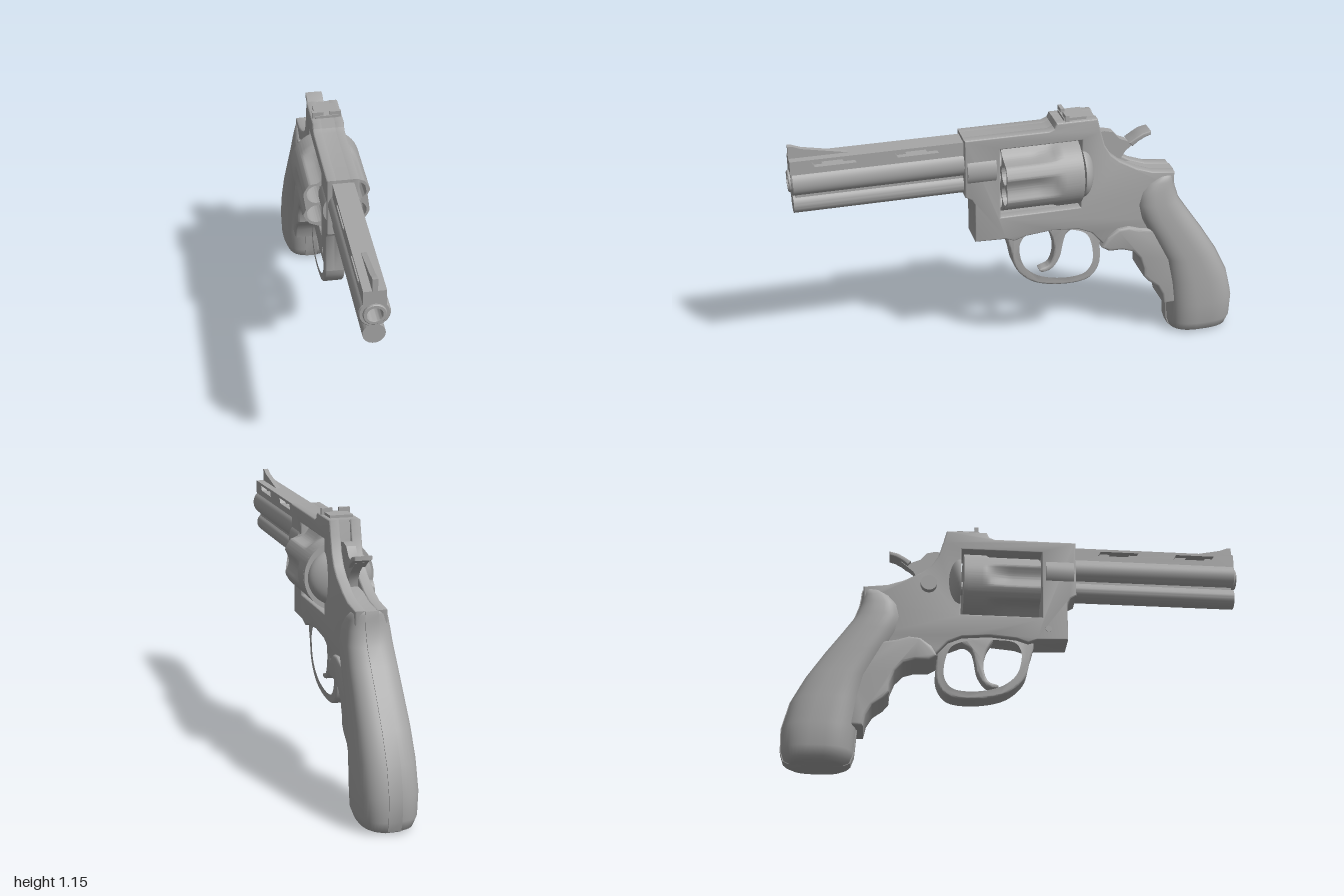
import * as THREE from 'three';
import { toCreasedNormals } from 'three/addons/utils/BufferGeometryUtils.js';

const steel = new THREE.MeshStandardMaterial({ color: 0xa6a6a6 });
steel.name = 'steel grey';

export function createModel() {
  const model = new THREE.Group();
  model.name = 'revolver';

  const add = (name, geo, crease = 0.6) => {
    const mesh = new THREE.Mesh(crease ? toCreasedNormals(geo, crease) : geo, steel);
    mesh.name = name;
    model.add(mesh);
    return mesh;
  };
  const vecs = (pts) => pts.map(([z, y]) => new THREE.Vector2(z, y));
  // Closed smooth outline through a few [z, y] points
  const smooth = (pts, n = 60) =>
    new THREE.CatmullRomCurve3(pts.map(([z, y]) => new THREE.Vector3(z, y, 0)), true)
      .getPoints(n).slice(0, -1).map((p) => [p.x, p.y]);
  // Side profile in [z, y], extruded across x to a total width w
  const plate = (name, pts, w, { x = 0, bevel = 0, holes = [], crease = 0.6 } = {}) => {
    const shape = new THREE.Shape(vecs(pts));
    holes.forEach((h) => shape.holes.push(new THREE.Path(vecs(h))));
    const depth = w - 2 * bevel;
    const geo = new THREE.ExtrudeGeometry(shape, {
      depth, bevelEnabled: bevel > 0, bevelSize: bevel, bevelThickness: bevel,
      bevelOffset: -bevel, bevelSegments: 3,
    });
    geo.translate(0, 0, -depth / 2);
    geo.rotateY(-Math.PI / 2);
    geo.translate(x, 0, 0);
    return add(name, geo, crease);
  };
  // Round part along z between z0 and z1
  const rod = (name, r, y, z0, z1) => {
    const geo = new THREE.CylinderGeometry(r, r, z1 - z0, 48);
    geo.rotateX(Math.PI / 2);
    geo.translate(0, y, (z0 + z1) / 2);
    return add(name, geo);
  };
  const box = (name, w, h, d, x, y, z) =>
    add(name, new THREE.BoxGeometry(w, h, d).translate(x, y, z));

  // Frame: a core with a hammer slot at the back, between two side plates
  const frameLow = [
    [-0.67, 0.76], [-0.63, 0.6], [-0.56, 0.5], [-0.45, 0.5], [-0.36, 0.51], [-0.335, 0.54], [-0.3, 0.58],
    [-0.24, 0.607], [-0.12, 0.618], [0, 0.607], [0.05, 0.59], [0.09, 0.605], [0.225, 0.61],
    [0.225, 0.79], [0.24, 0.815], [0.265, 0.83], [0.265, 1.095], [-0.1, 1.095], [-0.125, 1.105], [-0.135, 1.128],
  ];
  const sideBack = [
    [-0.315, 1.128], [-0.33, 1.07], [-0.35, 1.0], [-0.38, 0.95], [-0.42, 0.915], [-0.5, 0.87], [-0.57, 0.845],
    [-0.675, 0.832],
  ];
  const coreBack = [[-0.31, 1.128], [-0.325, 1.05], [-0.35, 0.88], [-0.5, 0.865], [-0.57, 0.842], [-0.675, 0.83]];
  const opening = [[0.112, 0.715], [0.112, 1.037], [-0.247, 1.037], [-0.247, 0.715]];
  plate('frameCore', [...frameLow, ...coreBack], 0.06, { holes: [opening] });
  for (const s of [1, -1])
    plate('frameSide', [...frameLow, ...sideBack], 0.046, { x: s * 0.045, bevel: 0.006, holes: [opening] });
  rod('barrelSocket', 0.083, 0.945, 0.13, 0.255);

  // Barrel with a hollow muzzle, lower lug and web
  const barrel = new THREE.LatheGeometry(
    vecs([[0.063, 0.2], [0.063, 0.984], [0.058, 0.99], [0.046, 0.99], [0.046, 0.997], [0.043, 1.0],
      [0.032, 1.0], [0.03, 0.995], [0.03, 0.7], [0, 0.7]]), 48);
  barrel.rotateX(Math.PI / 2);
  barrel.translate(0, 0.975, 0);
  add('barrel', barrel);
  rod('ejectorLug', 0.045, 0.875, 0.2, 0.985);
  box('barrelWeb', 0.06, 0.07, 0.75, 0, 0.91, 0.6);

  // Ventilated rib: long recesses outside, shorter slots through the middle
  const slot = (a, b) => [[a, 1.068], [a - 0.012, 1.046], [b, 1.046], [b + 0.012, 1.068]];
  const ribSide = [[0.25, 1.0], [0.99, 1.0], [0.99, 1.08], [0.25, 1.08]];
  plate('rib', ribSide, 0.09, { holes: [slot(0.9, 0.715), slot(0.555, 0.37)] });
  plate('ribWeb', [[0.25, 1.0], [0.985, 1.0], [0.985, 1.075], [0.25, 1.075]], 0.04,
    { holes: [slot(0.865, 0.765), slot(0.515, 0.415)] });
  plate('frontSight', [[0.72, 1.075], [0.99, 1.075], [0.99, 1.135], [0.97, 1.132], [0.935, 1.118]], 0.022);

  // Rear sight with a notch
  box('rearSightBase', 0.1, 0.015, 0.1, 0, 1.132, -0.22);
  for (const s of [1, -1]) box('rearSightBlade', 0.048, 0.035, 0.016, s * 0.038, 1.138, -0.182);
  box('rearSightBridge', 0.12, 0.015, 0.016, 0, 1.129, -0.182);

  // Six-chamber cylinder, flutes pressed into the outer wall
  const R = 0.152;
  const drum = new THREE.Shape().absarc(0, 0, R, 0, Math.PI * 2);
  for (let i = 0; i < 6; i++) {
    const a = Math.PI / 6 + (i * Math.PI) / 3;
    drum.holes.push(new THREE.Path().absarc(0.0986 * Math.cos(a), 0.0986 * Math.sin(a), 0.043, 0, Math.PI * 2, true));
  }
  const drumGeo = new THREE.ExtrudeGeometry(drum, { depth: 0.32, steps: 16, curveSegments: 96, bevelEnabled: false });
  drumGeo.translate(0, 0, -0.22);
  const p = drumGeo.attributes.position;
  for (let i = 0; i < p.count; i++) {
    const x = p.getX(i), y = p.getY(i), r = Math.hypot(x, y);
    if (r < R - 0.002) continue;
    const step = Math.PI / 3, a = Math.atan2(y, x);
    const d = (a - Math.round(a / step) * step) / 0.34;
    const end = Math.sqrt(THREE.MathUtils.clamp((p.getZ(i) + 0.14) / 0.1, 0, 1));
    const k = (r - 0.026 * Math.max(0, 1 - d * d) * end) / r;
    p.setXY(i, x * k, y * k);
  }
  drumGeo.translate(0, 0.875, 0);
  add('cylinder', drumGeo);
  rod('cylinderBack', R, 0.875, -0.238, -0.2);
  rod('cylinderAxle', 0.03, 0.875, -0.25, 0.2);

  // Domed recoil shield behind the cylinder
  const dome = new THREE.SphereGeometry(0.127, 40, 16, 0, Math.PI * 2, 0, Math.PI / 2);
  dome.rotateX(-Math.PI / 2);
  dome.scale(1.1, 1, 0.46);
  dome.translate(0, 0.875, -0.25);
  add('recoilShield', dome, 0);
  add('recoilShieldFace', new THREE.CircleGeometry(0.127, 40).scale(1.1, 1, 1).translate(0, 0.875, -0.25));

  // Cylinder latch on one side, screws on the other
  const button = (name, r, x, y, z, w) =>
    add(name, new THREE.CylinderGeometry(r, r, w, 24).rotateZ(Math.PI / 2).translate(x, y, z));
  button('cylinderLatch', 0.036, -0.078, 0.85, -0.39, 0.035);
  button('framePin', 0.014, -0.066, 0.66, 0.14, 0.008);

  // Trigger guard
  plate('triggerGuard',
    smooth([[0.075, 0.6], [0.06, 0.52], [0.035, 0.43], [-0.04, 0.357], [-0.18, 0.323], [-0.3, 0.338],
      [-0.345, 0.4], [-0.348, 0.5], [-0.34, 0.58], [-0.24, 0.63], [-0.1, 0.64], [0.04, 0.635]], 90),
    0.09, {
      bevel: 0.008,
      holes: [smooth([[0.028, 0.56], [0.028, 0.5], [0.005, 0.435], [-0.06, 0.38], [-0.18, 0.35], [-0.28, 0.362],
        [-0.318, 0.41], [-0.32, 0.49], [-0.29, 0.57], [-0.22, 0.604], [-0.1, 0.614], [0, 0.602]], 80)],
    });

  // Trigger
  plate('trigger', smooth([[-0.1, 0.63], [-0.13, 0.56], [-0.142, 0.49], [-0.12, 0.42], [-0.075, 0.4],
    [-0.085, 0.387], [-0.13, 0.397], [-0.168, 0.45], [-0.185, 0.53], [-0.2, 0.57], [-0.26, 0.61], [-0.2, 0.64]]),
    0.05, { bevel: 0.008 });

  // Hammer with a wider thumb spur
  plate('hammer', [[-0.33, 0.86], [-0.33, 1.04], [-0.36, 1.045], [-0.4, 1.035], [-0.43, 1.0], [-0.47, 0.983],
    [-0.5, 1.0], [-0.52, 1.012], [-0.52, 0.99], [-0.49, 0.965], [-0.46, 0.94], [-0.435, 0.9], [-0.43, 0.86]], 0.04);
  plate('hammerSpur', [[-0.47, 0.983], [-0.5, 1.003], [-0.53, 1.02], [-0.567, 1.028], [-0.567, 1.01],
    [-0.54, 1.002], [-0.51, 0.985], [-0.485, 0.965]], 0.075, { bevel: 0.004 });

  // Grip: stacked rounded sections of [y, front z, back z, half width]
  const rows = [
    [0.005, -0.725, -0.95, 0.085], [0.018, -0.7, -0.975, 0.106], [0.06, -0.686, -0.989, 0.122],
    [0.16, -0.68, -0.992, 0.126], [0.28, -0.663, -0.962, 0.122], [0.4, -0.635, -0.902, 0.116],
    [0.52, -0.57, -0.825, 0.11], [0.62, -0.518, -0.755, 0.106], [0.69, -0.502, -0.708, 0.101],
    [0.75, -0.515, -0.688, 0.093], [0.79, -0.548, -0.682, 0.083], [0.815, -0.59, -0.68, 0.073],
    [0.83, -0.63, -0.677, 0.05],
  ];
  const N = 48, verts = [], index = [];
  const curve = (v) => Math.sign(v) * Math.abs(v) ** 0.72;
  for (const [y, zf, zb, w] of rows)
    for (let j = 0; j < N; j++) {
      const a = (j / N) * Math.PI * 2;
      verts.push(w * curve(Math.sin(a)), y, (zf + zb) / 2 + ((zf - zb) / 2) * curve(Math.cos(a)));
    }
  const last = rows.length - 1;
  for (let i = 0; i < last; i++)
    for (let j = 0; j < N; j++) {
      const a = i * N + j, b = i * N + ((j + 1) % N);
      index.push(a, b, b + N, a, b + N, a + N);
    }
  for (const [i, flip] of [[0, true], [last, false]]) {
    const c = verts.length / 3, [y, zf, zb] = rows[i];
    verts.push(0, y, (zf + zb) / 2);
    for (let j = 0; j < N; j++) {
      const a = i * N + j, b = i * N + ((j + 1) % N);
      index.push(c, ...(flip ? [b, a] : [a, b]));
    }
  }
  const grip = new THREE.BufferGeometry();
  grip.setAttribute('position', new THREE.Float32BufferAttribute(verts, 3));
  grip.setIndex(index);
  grip.computeVertexNormals();
  add('grip', grip, 0);

  // Raised centre strip running round the grip
  plate('gripStrap', [
    ...rows.map(([y, zf]) => [zf + 0.003, y]),
    ...rows.map(([y, , zb]) => [zb - 0.003, y]).reverse(),
  ], 0.056);

  // Finger rest in front of the grip
  plate('fingerRest', [
    [-0.345, 0.505], [-0.37, 0.55], [-0.42, 0.587], [-0.47, 0.592], [-0.52, 0.575], [-0.6, 0.56], [-0.72, 0.4],
    [-0.72, 0.17], [-0.65, 0.168], [-0.64, 0.22], [-0.615, 0.265], [-0.57, 0.3], [-0.547, 0.33],
    [-0.545, 0.37], [-0.525, 0.425], [-0.49, 0.465], [-0.44, 0.482], [-0.38, 0.483],
  ], 0.17, { bevel: 0.012 });

  return model;
}
